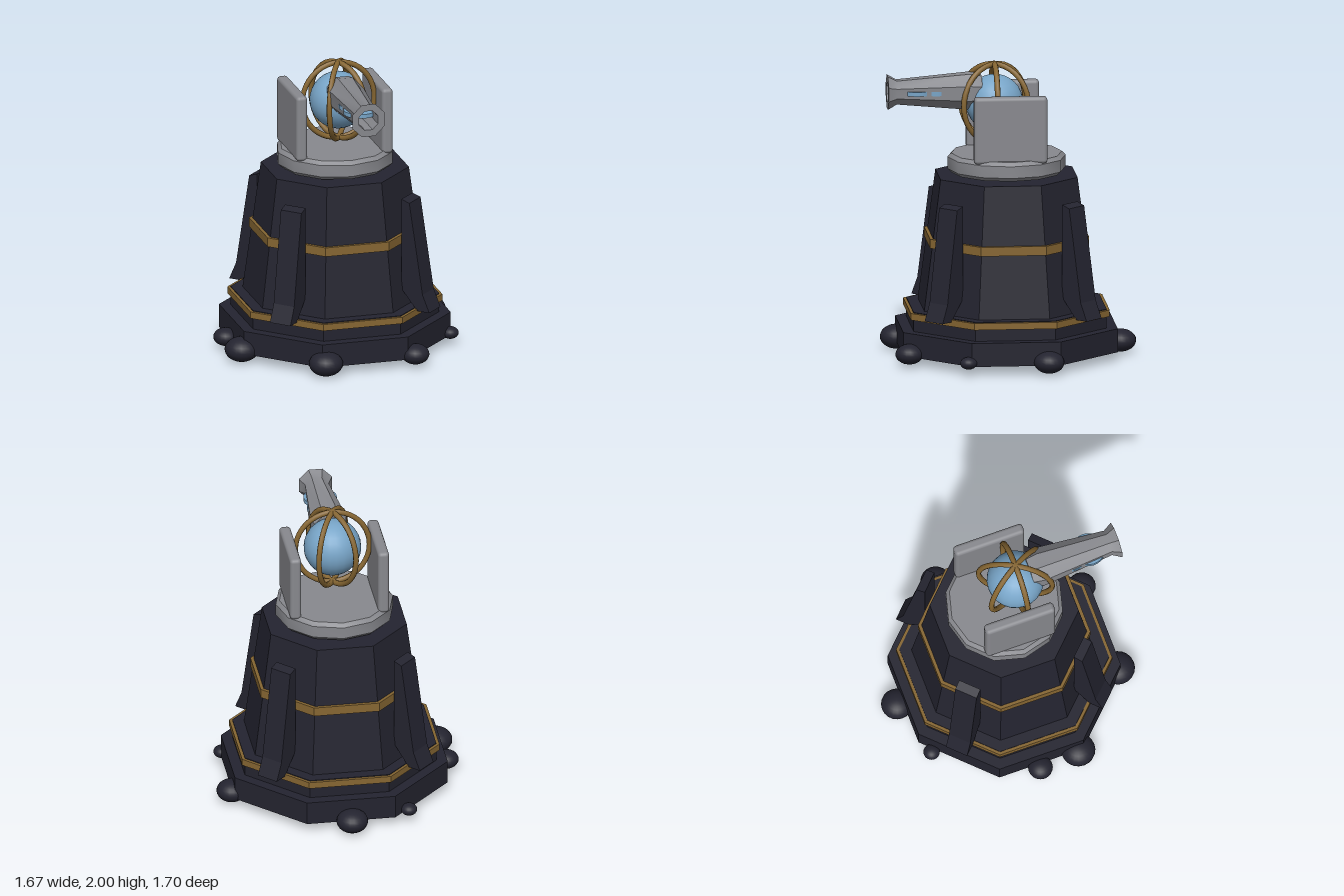
import * as THREE from 'three';
import { toCreasedNormals } from 'three/addons/utils/BufferGeometryUtils.js';
import { RoundedBoxGeometry } from 'three/addons/geometries/RoundedBoxGeometry.js';

const material = (name, color) => {
  const m = new THREE.MeshStandardMaterial({ color });
  m.name = name;
  return m;
};

export function createModel() {
  const model = new THREE.Group();
  model.name = 'turret';
  const dark = material('dark stone', 0x242430);
  const gold = material('aged brass', 0x866632);
  const grey = material('grey metal', 0x88898e);
  const blue = material('blue crystal', 0x78a5c8);
  const CZ = 0.02; // depth of the tower axis

  const add = (name, geometry, mat, x = 0, y = 0, z = 0, parent = model) => {
    const mesh = new THREE.Mesh(geometry, mat);
    mesh.name = name;
    mesh.position.set(x, y, z);
    parent.add(mesh);
    return mesh;
  };

  // Octagonal tier with flats facing the axes; radii are measured to the flats
  const tier = (name, mat, y0, y1, bottom, top) => {
    const k = 1 / Math.cos(Math.PI / 8);
    const g = new THREE.CylinderGeometry(top * k, bottom * k, y1 - y0, 8, 1, false, Math.PI / 8);
    return add(name, toCreasedNormals(g, 0.3), mat, 0, (y0 + y1) / 2, CZ);
  };
  tier('base', dark, 0.06, 0.22, 0.72, 0.72);
  tier('baseStep', dark, 0.22, 0.35, 0.648, 0.648);
  tier('lowerBand', gold, 0.3, 0.345, 0.668, 0.668);
  tier('tower', dark, 0.34, 1.235, 0.575, 0.46);
  tier('upperBand', gold, 0.775, 0.837, 0.533, 0.533);

  // Diagonal buttresses: radial profile extruded sideways
  const finShape = new THREE.Shape([
    [0.67, 0.33], [0.762, 0.33], [0.71, 0.45], [0.61, 1.08], [0.549, 1.1], [0.549, 0.47],
  ].map(([r, y]) => new THREE.Vector2(r, y)));
  const finGeometry = new THREE.ExtrudeGeometry(finShape, { depth: 0.156, bevelEnabled: false });
  finGeometry.translate(0, 0, -0.078);
  for (let i = 0; i < 4; i++) {
    add('buttress', finGeometry, dark, 0, 0, CZ).rotation.y = Math.PI / 4 + i * Math.PI / 2;
  }

  // Flattened boulders around the foot: x, z, radius
  const boulders = [
    [0, -0.745, 0.106], [-0.4, -0.645, 0.055], [0.73, -0.2, 0.102], [-0.755, 0, 0.083],
    [-0.725, 0.28, 0.115], [0.71, 0.34, 0.057], [-0.27, 0.73, 0.115], [0.36, 0.705, 0.094],
  ];
  for (const [x, z, r] of boulders) {
    add('boulder', new THREE.SphereGeometry(r, 20, 14), dark, x, 0.084, z).scale.y = 0.72;
  }

  const lathe = (points, sides, phase = 0) => toCreasedNormals(
    new THREE.LatheGeometry(points.map(([r, y]) => new THREE.Vector2(r, y)), sides, phase), 0.6);

  // Turntable with bevelled rims, and its two cheek plates
  add('turntable', lathe([
    [0, 1.25], [0.372, 1.25], [0.397, 1.275], [0.397, 1.355], [0.372, 1.38], [0, 1.38],
  ], 12), grey, 0, 0, CZ);
  for (const side of [-1, 1]) {
    add('cheekPlate', new RoundedBoxGeometry(0.076, 0.455, 0.492, 3, 0.025), grey,
      side * 0.298, 1.586, CZ);
  }

  // Globe inside a cage of three upright rings
  const globe = new THREE.Group();
  globe.name = 'globe';
  globe.position.set(0, 1.717, 0.1);
  model.add(globe);
  add('orb', new THREE.SphereGeometry(0.193, 24, 16), blue, 0, 0, 0, globe);
  for (let i = 0; i < 3; i++) {
    const ring = add('cageRing', new THREE.TorusGeometry(0.264, 0.019, 8, 40), gold, 0, 0, 0, globe);
    ring.rotation.y = i * Math.PI / 3;
    ring.scale.x = 0.95;
  }

  // Hollow octagonal barrel pointing forward, with a flared muzzle
  const barrel = new THREE.Group();
  barrel.name = 'barrel';
  barrel.position.set(0, 1.802, 0);
  model.add(barrel);
  const tube = add('barrelTube', lathe([
    [0.075, 0.19], [0.115, 0.19], [0.131, 0.27], [0.086, 0.76], [0.122, 0.82],
    [0.072, 0.82], [0.068, 0.76], [0.075, 0.19],
  ], 8, Math.PI / 8), grey, 0, 0, 0, barrel);
  tube.rotation.x = Math.PI / 2;

  // Thin crystal discs whose rims show through the barrel sides
  for (const [z, r] of [[0.62, 0.112], [0.492, 0.108]]) {
    add('crystalDisc', new THREE.CylinderGeometry(r, r, 0.028, 24), blue, 0, 0, z, barrel);
  }
  return model;
}
